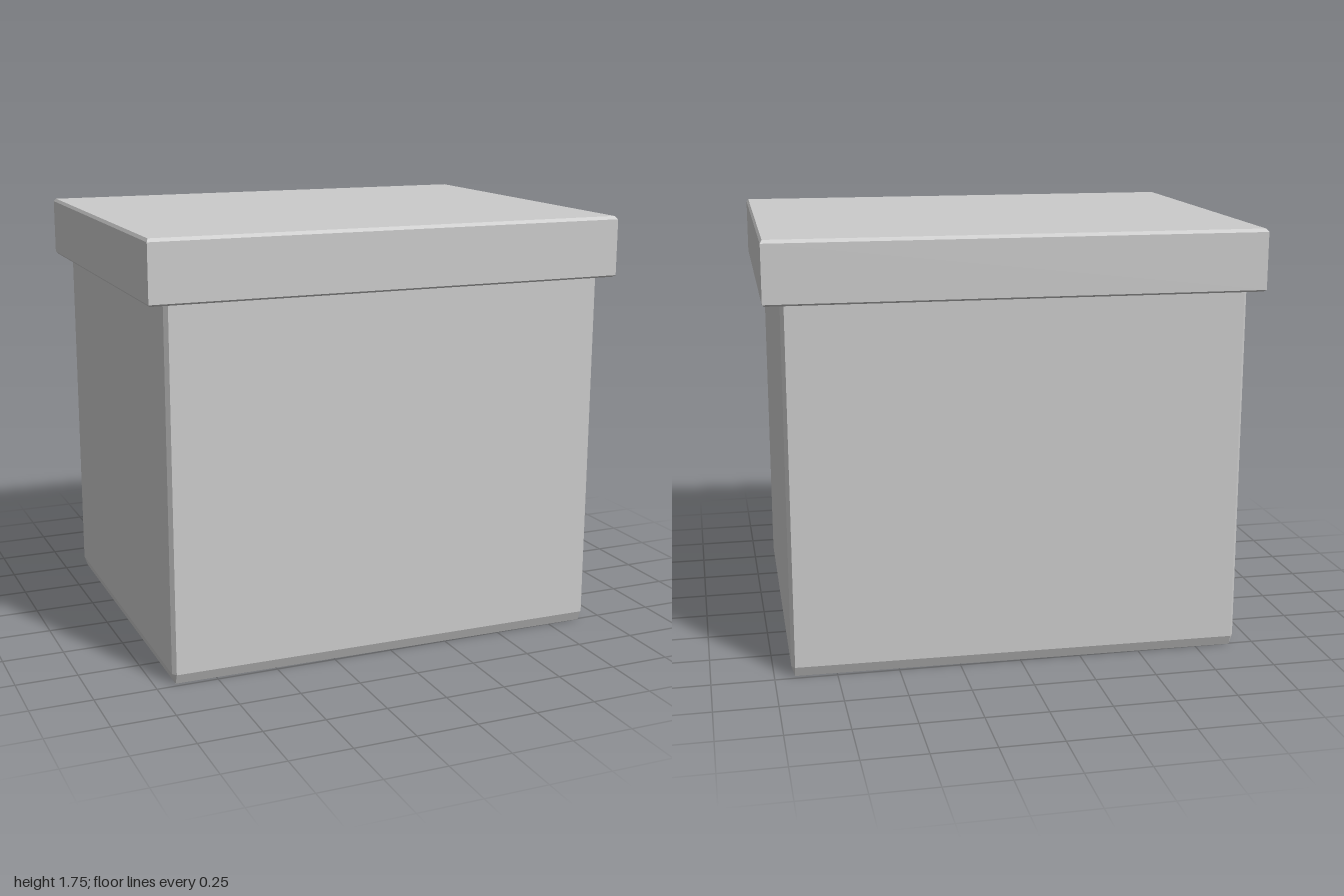
import * as THREE from 'three';

// Rectangle outline with cut corners: half sizes hx, hz and corner cuts cx, cz at height y
function ring(y, hx, hz, cx = 0, cz = 0) {
  const corners = [[hx, hz - cz], [hx - cx, hz], [cx - hx, hz], [-hx, hz - cz],
    [-hx, cz - hz], [cx - hx, -hz], [hx - cx, -hz], [hx, cz - hz]];
  return corners.map(([x, z]) => new THREE.Vector3(x, y, z));
}

// Closed, faceted solid through rings listed from bottom to top
function loft(rings) {
  const pos = [];
  const tri = (a, b, c) => {
    if (a.equals(b) || b.equals(c) || c.equals(a)) return;
    for (const p of [a, b, c]) pos.push(p.x, p.y, p.z);
  };
  for (let r = 0; r + 1 < rings.length; r++) {
    const lo = rings[r], hi = rings[r + 1];
    for (let i = 0; i < 8; i++) {
      const j = (i + 1) % 8;
      tri(lo[i], hi[i], hi[j]);
      tri(lo[i], hi[j], lo[j]);
    }
  }
  const bottom = rings[0], top = rings[rings.length - 1];
  for (let i = 1; i < 7; i++) {
    tri(bottom[0], bottom[i], bottom[i + 1]);
    tri(top[0], top[i + 1], top[i]);
  }
  const geo = new THREE.BufferGeometry();
  geo.setAttribute('position', new THREE.Float32BufferAttribute(pos, 3));
  geo.computeVertexNormals();
  return geo;
}

export function createModel() {
  const group = new THREE.Group();
  group.name = 'liddedBox';
  const material = new THREE.MeshStandardMaterial({ color: 0xcccccc, flatShading: true });
  const add = (name, rings) => {
    const mesh = new THREE.Mesh(loft(rings), material);
    mesh.name = name;
    group.add(mesh);
  };

  // Body with chamfered upright and bottom edges
  add('body', [
    ring(0, 0.907, 0.742),
    ring(0.043, 0.921, 0.761, 0.014, 0.019),
    ring(1.502, 0.921, 0.761, 0.014, 0.019),
  ]);

  // Overhanging lid with narrow chamfers along top and bottom
  add('lid', [
    ring(1.5, 0.98, 0.773),
    ring(1.509, 0.988, 0.79),
    ring(1.738, 0.988, 0.79),
    ring(1.75, 0.98, 0.773),
  ]);

  // The whole box stands slightly turned
  group.rotation.y = -0.015;
  return group;
}
